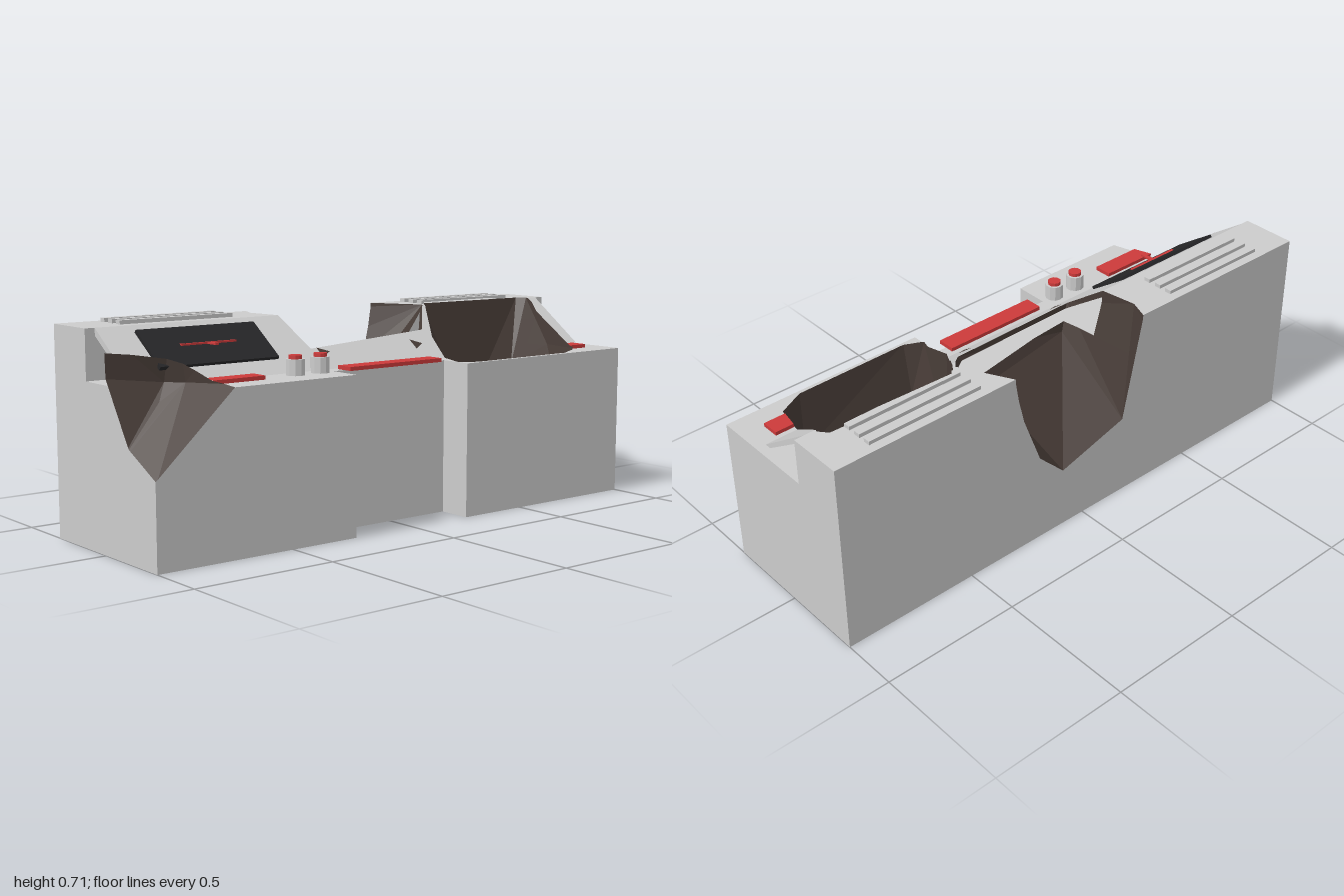
import * as THREE from 'three';
import { ConvexGeometry } from 'three/addons/geometries/ConvexGeometry.js';

const EPS = 1e-5;
const V = (p) => new THREE.Vector3(...p);
const mat = (color) => new THREE.MeshStandardMaterial({ color, flatShading: true });
const grey = mat(0xcccccc), red = mat(0xcc3a3a), scorch = mat(0x453a35), black = mat(0x262628);

// --- polygon helpers: cut convex blast volumes out of flat faces ---
function polygons(geo) {
  const p = (geo.index ? geo.toNonIndexed() : geo).attributes.position, out = [];
  for (let i = 0; i < p.count; i += 3) {
    out.push([0, 1, 2].map((k) => new THREE.Vector3().fromBufferAttribute(p, i + k)));
  }
  return out;
}

function hull(points) {
  const faces = polygons(new ConvexGeometry(points.map(V)));
  return { faces, planes: faces.map((f) => new THREE.Plane().setFromCoplanarPoints(...f)) };
}

function split(poly, plane) {
  const inside = [], outside = [];
  const d = poly.map((v) => plane.distanceToPoint(v));
  poly.forEach((a, i) => {
    const j = (i + 1) % poly.length;
    if (d[i] <= EPS) inside.push(a);
    if (d[i] >= -EPS) outside.push(a);
    if ((d[i] > EPS && d[j] < -EPS) || (d[i] < -EPS && d[j] > EPS)) {
      const c = a.clone().lerp(poly[j], d[i] / (d[i] - d[j]));
      inside.push(c);
      outside.push(c);
    }
  });
  const hasOut = d.some((x) => x > EPS), hasIn = d.some((x) => x < -EPS) || !hasOut;
  return [hasIn ? inside : null, hasOut ? outside : null];
}

function subtract(polys, cutter) {
  return polys.flatMap((poly) => {
    const kept = [];
    let rest = poly;
    for (const plane of cutter.planes) {
      const [inn, out] = split(rest, plane);
      if (out) kept.push(out);
      if (!inn) return [poly];
      rest = inn;
    }
    return kept;
  });
}

function intersect(polys, solid) {
  return polys.flatMap((poly) => {
    let rest = poly;
    for (const plane of solid.planes) {
      rest = split(rest, plane)[0];
      if (!rest) return [];
    }
    return [rest];
  });
}

function toMesh(name, polys, material) {
  const pos = [];
  for (const p of polys) {
    for (let i = 1; i < p.length - 1; i++) {
      for (const v of [p[0], p[i], p[i + 1]]) pos.push(v.x, v.y, v.z);
    }
  }
  const geo = new THREE.BufferGeometry();
  geo.setAttribute('position', new THREE.Float32BufferAttribute(pos, 3));
  geo.computeVertexNormals();
  const mesh = new THREE.Mesh(geo, material);
  mesh.name = name;
  return mesh;
}

const box = (x0, x1, y0, y1, z0, z1) =>
  new THREE.BoxGeometry(x1 - x0, y1 - y0, z1 - z0).translate((x0 + x1) / 2, (y0 + y1) / 2, (z0 + z1) / 2);

// Convex prism along x from a [z, y] profile
const prism = (x0, x1, profile) => hull(profile.flatMap(([z, y]) => [[x0, y, z], [x1, y, z]]));
const block = (x0, x1, y0, y1, z0, z1) => prism(x0, x1, [[z0, y0], [z0, y1], [z1, y0], [z1, y1]]);

// --- blast volumes ---
const rearSection = [[0.3, 0.85], [0.3, 0.7], [0.27, 0.52], [0.2, 0.335], [0.095, 0.23],
  [-0.18, 0.31], [-0.257, 0.68], [-0.27, 0.85]];
const rearBlast = hull([
  ...rearSection.map(([x, y]) => [x, y, -0.3]),
  ...rearSection.map(([x, y]) => [x * 0.75, 0.6 + (y - 0.6) * 0.75, -0.45]),
  [-0.2, 0.5, 0.03], [0.21, 0.5, -0.04], [0.4, 0.7, -0.12], [-0.285, 0.7, -0.23], [-0.265, 0.7, -0.1],
  [-0.235, 0.6, 0.045], [0.29, 0.625, 0.005], [-0.25, 0.85, 0.04], [0.3, 0.85, 0], [0.41, 0.85, -0.11],
]);
const sideBlast = hull([
  [0.6, 0.27, -0.1], [0.31, 0.36, 0.24], [0.75, 0.33, 0.25],
  [0.24, 0.54, 0.25], [0.3, 0.54, 0.288], [0.73, 0.54, 0.285], [0.83, 0.54, 0.23], [0.86, 0.54, 0.07],
  [0.4, 0.4, -0.07], [0.82, 0.45, -0.08], [0.3, 0.62, 0.05], [0.4, 0.7, -0.105], [0.44, 0.7, -0.16],
  [0.9, 0.7, -0.14], [0.925, 0.7, -0.11], [0.3, 0.85, 0.2], [0.9, 0.85, 0.2], [0.5, 0.85, -0.12], [0.92, 0.85, -0.1],
]);
const cornerBlast = hull([
  [-1.05, 0.22, 0.35], [-1.05, 0.31, 0.17], [-1.05, 0.56, 0.01], [-0.86, 0.48, 0.1],
  [-0.82, 0.535, 0.065], [-0.77, 0.535, 0.11], [-0.69, 0.545, 0.35],
  [-1.05, 0.75, 0], [-0.8, 0.8, 0.1], [-0.7, 0.8, 0.35], [-1.05, 0.8, 0.4],
]);
const blasts = [rearBlast, sideBlast, cornerBlast];
const damaged = (polys) => blasts.reduce(subtract, polys);

export function createModel() {
  const model = new THREE.Group();
  const add = (name, geo, material) => {
    const mesh = new THREE.Mesh(geo, material);
    mesh.name = name;
    model.add(mesh);
    return mesh;
  };
  const addDamaged = (name, polys, material) => model.add(toMesh(name, damaged(polys), material));

  // Base cabinet with a knee recess in the front
  const plan = new THREE.Shape([[-1, -0.3], [-0.245, -0.3], [-0.245, -0.18], [0.24, -0.18], [0.24, -0.3],
    [1, -0.3], [1, 0.3], [-1, 0.3]].map((p) => new THREE.Vector2(...p)));
  const base = new THREE.ExtrudeGeometry(plan, { depth: 0.535, bevelEnabled: false }).rotateX(-Math.PI / 2);
  addDamaged('baseCabinet', polygons(base), grey);

  // Raised rear housing and thin sloping panel in front of it
  addDamaged('rearHousing', polygons(box(-1, 1, 0.535, 0.7, -0.3, -0.1)), grey);
  const panel = prism(-0.965, 0.965, [[0.13, 0.535], [0.105, 0.535], [-0.1, 0.675], [-0.1, 0.7]]);
  addDamaged('slopingPanel', panel.faces, grey);

  // Scorched crater walls
  const solids = [block(-1, -0.245, 0, 0.535, -0.3, 0.3), block(-0.245, 0.24, 0, 0.535, -0.3, 0.18),
    block(0.24, 1, 0, 0.535, -0.3, 0.3), block(-1, 1, 0.535, 0.7, -0.3, -0.1)];
  const wedge = [
    [[0.3, 0.535], [0.21, 0.547], [0.21, 0.535]],
    [[0.21, 0.535], [0.21, 0.547], [-0.03, 0.655], [-0.03, 0.535]],
    [[-0.03, 0.535], [-0.03, 0.655], [-0.065, 0.685], [-0.1, 0.7], [-0.1, 0.535]],
  ].map((profile) => prism(-1, 1, profile));
  ['rearCrater', 'sideCrater', 'cornerCrater'].forEach((name, i) => {
    const within = [...solids, ...(i === 0 ? [panel] : wedge)];
    let walls = within.flatMap((solid) => intersect(blasts[i].faces, solid));
    blasts.forEach((other, j) => { if (j !== i) walls = subtract(walls, other); });
    model.add(toMesh(name, walls.map((p) => [...p].reverse()), scorch));
  });

  // Vent bars on the housing
  for (const x of [-0.85, 0.42]) {
    for (const z of [-0.255, -0.207, -0.157]) {
      addDamaged('ventBar', polygons(box(x, x + 0.43, 0.7, 0.713, z - 0.0125, z + 0.0125)), grey);
    }
  }

  // Red light strips on the desk edge
  for (const [x0, x1] of [[-0.915, -0.54], [-0.2, 0.2], [0.54, 0.915]]) {
    addDamaged('lightStrip', polygons(box(x0, x1, 0.535, 0.548, 0.147, 0.212)), red);
  }

  // Push buttons
  for (const x of [-0.4, -0.3]) {
    add('buttonHousing', new THREE.CylinderGeometry(0.032, 0.032, 0.053, 10).translate(x, 0.5615, 0.18), grey);
    add('buttonCap', new THREE.CylinderGeometry(0.023, 0.023, 0.012, 10).translate(x, 0.594, 0.18), red);
  }

  // Screen on the slope with a flat red marker
  const slope = Math.atan2(0.165, 0.23);
  const screen = add('screen', new THREE.BoxGeometry(0.45, 0.014, 0.178), black);
  screen.position.set(-0.615, 0.631, 0.003);
  screen.rotation.x = slope;
  add('markerBar', box(-0.72, -0.51, 0.636, 0.642, -0.002, 0.01), red);
  add('markerStem', box(-0.622, -0.608, 0.636, 0.642, -0.045, 0.055), red);

  // Small scorched chips on the panel below the rear crater
  for (const x of [-0.2, 0.21]) {
    const chip = add('scorchedChip', new THREE.CircleGeometry(0.028, 3), scorch);
    chip.position.set(x, 0.585, 0.066);
    chip.rotation.x = slope - Math.PI / 2;
  }
  return model;
}
